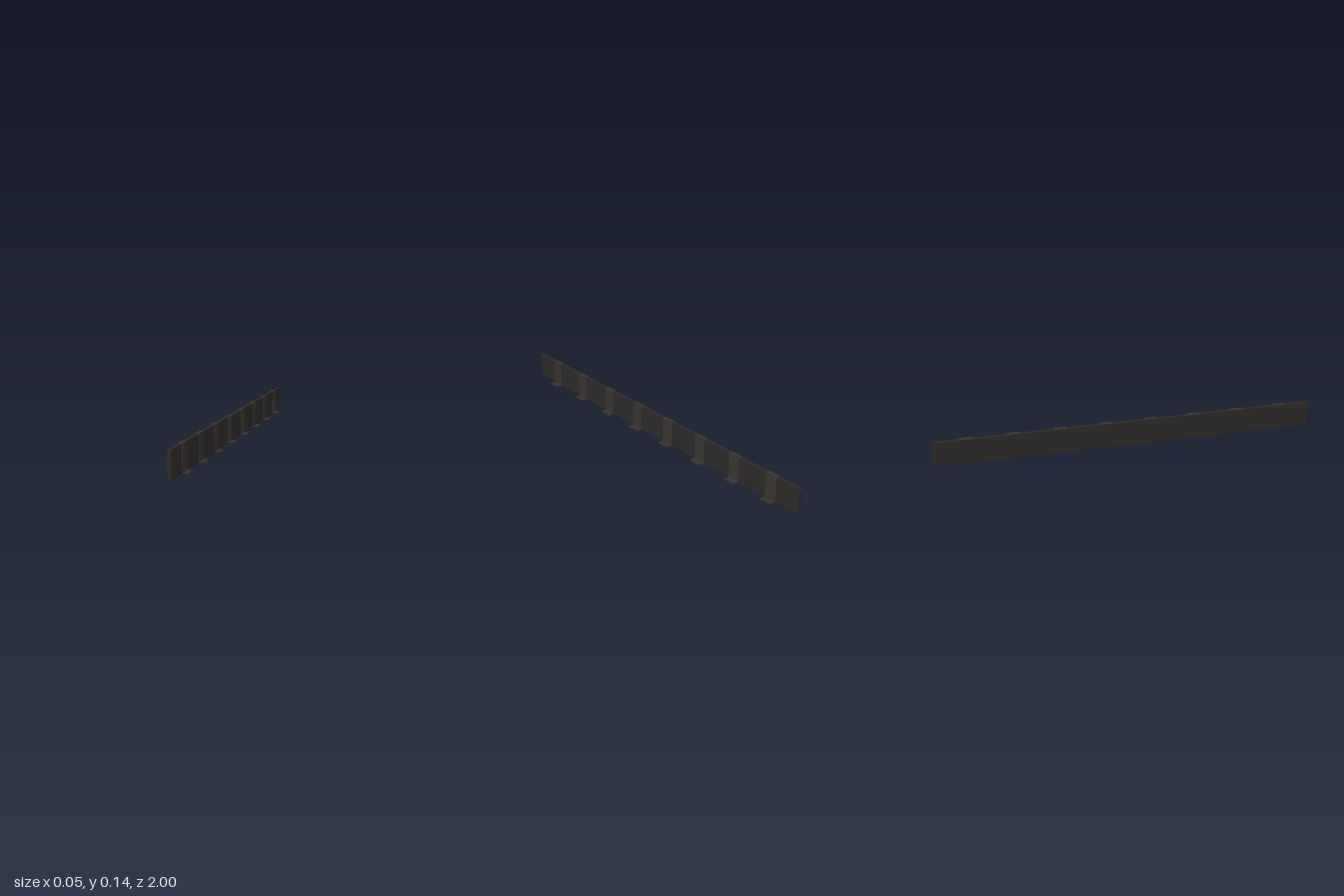
import * as THREE from 'three';

const CLIPS = 8, SPACING = 0.238, CLIP_WIDTH = 0.066;

export function createModel() {
  const model = new THREE.Group();
  model.name = 'hookRail';
  const boardMaterial = new THREE.MeshStandardMaterial({ color: 0x2b2927 });
  const clipMaterial = new THREE.MeshStandardMaterial({ color: 0x36322f });

  // Long upright board
  const board = new THREE.Mesh(new THREE.BoxGeometry(0.018, 0.133, 2), boardMaterial);
  board.name = 'board';
  board.position.set(-0.019, 0.0665, 0);
  model.add(board);

  // Bent strip: over the board's top, down its face, out to a shelf with a raised lip
  const profile = new THREE.Shape([
    [-0.028, 0.133], [-0.01, 0.133], [-0.01, 0], [0.027, 0], [0.027, 0.011],
    [0.024, 0.011], [0.024, 0.004], [-0.006, 0.004], [-0.006, 0.136], [-0.028, 0.136],
  ].map(([x, y]) => new THREE.Vector2(x, y)));
  const clipGeometry = new THREE.ExtrudeGeometry(profile, { depth: CLIP_WIDTH, bevelEnabled: false });
  clipGeometry.translate(0, 0, -CLIP_WIDTH / 2);

  // Evenly spaced row of hooks
  for (let i = 0; i < CLIPS; i++) {
    const clip = new THREE.Mesh(clipGeometry, clipMaterial);
    clip.name = `hook${i + 1}`;
    clip.position.z = (i - (CLIPS - 1) / 2) * SPACING;
    model.add(clip);
  }
  return model;
}
